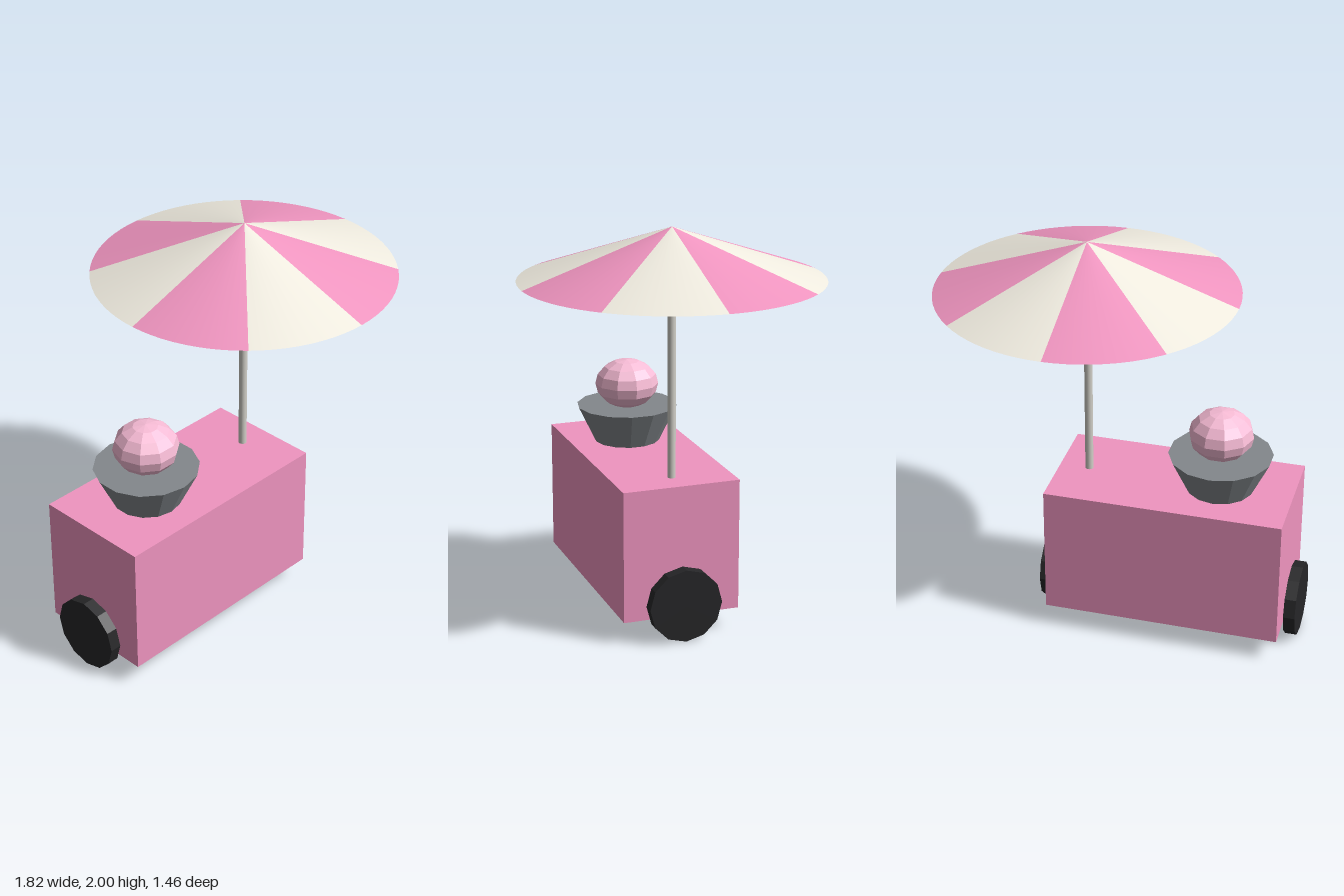
import * as THREE from 'three';

const mat = (color, flatShading = false) => new THREE.MeshStandardMaterial({ color, flatShading });

export function createModel() {
  const cart = new THREE.Group();
  cart.name = 'vendingCart';
  const pink = mat(0xf095c0);
  const cream = mat(0xf0ece0);
  const rubber = mat(0x262628, true);

  const add = (name, geometry, material, x, y, z = 0, parent = cart) => {
    const mesh = new THREE.Mesh(geometry, material);
    mesh.name = name;
    mesh.position.set(x, y, z);
    parent.add(mesh);
    return mesh;
  };

  // Box body
  const bodyX = -0.262;
  add('body', new THREE.BoxGeometry(1.175, 0.66, 0.59), pink, bodyX, 0.445);

  // One wheel at each end, axle along x
  const wheelGeometry = new THREE.CylinderGeometry(0.184, 0.184, 0.057, 12).rotateZ(Math.PI / 2);
  for (const side of [-1, 1]) {
    add(side < 0 ? 'rightWheel' : 'leftWheel', wheelGeometry, rubber, bodyX + side * 0.625, 0.187);
  }

  // Bowl with a flattened scoop resting in it
  const bowlX = -0.485;
  add('bowl', new THREE.CylinderGeometry(0.255, 0.165, 0.187, 14), mat(0x83888c, true), bowlX, 0.867);
  const scoop = add('scoop', new THREE.SphereGeometry(0.16, 10, 8), mat(0xf8bcd6, true), bowlX, 1.07);
  scoop.scale.y = 0.78;

  // Parasol pole
  const poleX = 0.178;
  add('pole', new THREE.CylinderGeometry(0.02, 0.02, 1.0, 16), mat(0xd2d0c8), poleX, 1.27);

  // Parasol canopy: eight wedges of a shallow closed cone, in alternating colours
  const canopy = new THREE.Group();
  canopy.name = 'canopy';
  canopy.position.set(poleX, 1.875, 0);
  cart.add(canopy);
  const wedge = Math.PI / 4;
  for (let i = 0; i < 8; i++) {
    const geometry = new THREE.ConeGeometry(0.728, 0.25, 10, 1, false, i * wedge, wedge);
    add('canopyWedge' + (i + 1), geometry, i % 2 ? cream : pink, 0, 0, 0, canopy);
  }

  return cart;
}
